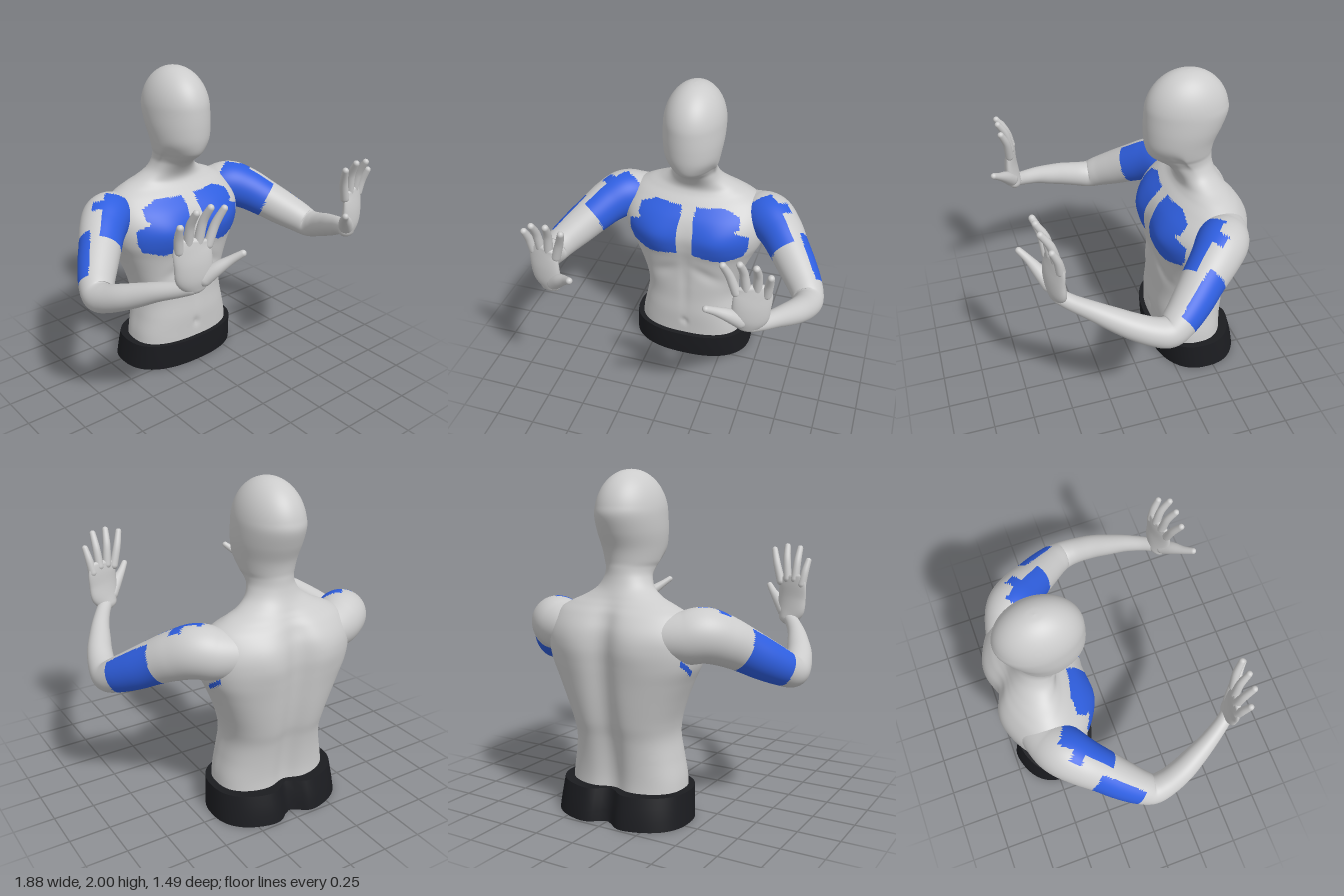
import * as THREE from 'three';

const V = (x, y, z) => new THREE.Vector3(x, y, z);
const mat = (color) => new THREE.MeshStandardMaterial({ color });
const SKIN = mat(0xcccccc), BLUE = mat(0x2f5fe0), DARK = mat(0x1b1c20);
const bump = (d, s) => Math.exp(-(d * d) / (s * s));
const smooth = THREE.MathUtils.smoothstep;

// Catmull-Rom through rows of numbers, u in 0..1
function sample(rows, u) {
  const n = rows.length - 1, f = Math.min(Math.max(u, 0), 1) * n;
  const i = Math.min(Math.floor(f), n - 1), t = f - i;
  const row = (k) => rows[Math.min(Math.max(k, 0), n)];
  return rows[0].map((_, c) => {
    const [a, b, d, e] = [-1, 0, 1, 2].map((k) => row(i + k)[c]);
    return b + 0.5 * t * (d - a + t * (2 * a - 5 * b + 4 * d - e + t * (3 * (b - d) + e - a)));
  });
}

// Closed skin over a list of rings, with a centre point at each end
function loft(rings) {
  const n = rings[0].length, last = (rings.length - 1) * n, index = [];
  const points = rings.flat();
  const centre = (ring) => ring.reduce((s, p) => s.add(p), V(0, 0, 0)).divideScalar(n);
  const c0 = points.push(centre(rings[0])) - 1;
  const c1 = points.push(centre(rings[rings.length - 1])) - 1;
  for (let j = 0; j < n; j++) {
    const k = (j + 1) % n;
    for (let i = 0; i < last; i += n) index.push(i + j, i + k, i + n + j, i + k, i + n + k, i + n + j);
    index.push(c0, k, j, c1, last + j, last + k);
  }
  const g = new THREE.BufferGeometry().setFromPoints(points);
  g.setIndex(index);
  g.computeVertexNormals();
  return g;
}

// Round-ended limb through rows [x, y, z, width radius, depth radius]
function limb(rows, s, ref, steps, sides) {
  const m = rows.map(([x, y, z, a, b = a]) => [x * s, y, z, a, b]);
  const r = V(ref[0] * s, ref[1], ref[2]), stations = [], rings = [];
  for (let k = 0; k < 6; k++) stations.push([0, -Math.cos((k / 6) * Math.PI / 2 + 0.05)]);
  for (let k = 0; k <= steps; k++) stations.push([k / steps, 0]);
  for (let k = 1; k <= 6; k++) stations.push([1, Math.sin((k / 6) * Math.PI / 2 - 0.05)]);
  for (const [u, cap] of stations) {
    const [x, y, z, a, b] = sample(m, u);
    const p = sample(m, u - 0.01), q = sample(m, u + 0.01);
    const T = V(q[0] - p[0], q[1] - p[1], q[2] - p[2]).normalize();
    const n1 = T.clone().cross(r).normalize(), n2 = T.clone().cross(n1);
    const c = V(x, y, z).addScaledVector(T, cap * Math.min(a, b)), shrink = Math.sqrt(1 - cap * cap);
    rings.push(Array.from({ length: sides }, (_, j) => {
      const t = (j / sides) * Math.PI * 2;
      return c.clone().addScaledVector(n1, a * shrink * Math.cos(t)).addScaledVector(n2, b * shrink * Math.sin(t));
    }));
  }
  return loft(rings);
}

// Horizontal body section; shape(x, y, front) returns a z offset
function section([y, hw, zf, zb], n, sides, shape) {
  const pow = (v) => Math.sign(v) * Math.abs(v) ** (2 / n);
  return Array.from({ length: sides }, (_, j) => {
    const t = (j / sides) * Math.PI * 2, x = hw * pow(Math.cos(t)), s = Math.sin(t);
    const z = (zf + zb) / 2 - ((zf - zb) / 2) * pow(s);
    return V(x, y, z + shape(x, y, -s));
  });
}

function add(group, name, geometry, material) {
  const mesh = new THREE.Mesh(geometry, material);
  mesh.name = name;
  group.add(mesh);
}

// Splits a surface into plain skin and a blue muscle patch chosen by test(centroid)
function addPainted(group, name, patchName, g, test) {
  const skin = [], patch = [], id = g.index.array, p = V(0, 0, 0), c = V(0, 0, 0);
  for (let i = 0; i < id.length; i += 3) {
    c.set(0, 0, 0);
    for (let k = 0; k < 3; k++) c.add(p.fromBufferAttribute(g.attributes.position, id[i + k]));
    (test(c.divideScalar(3)) ? patch : skin).push(id[i], id[i + 1], id[i + 2]);
  }
  const blue = g.clone();
  g.setIndex(skin);
  blue.setIndex(patch);
  add(group, name, g, SKIN);
  add(group, patchName, blue, BLUE);
}

// Body profile, from the waist up to the temples: y, half width, front z, back z
const BODY = [
  [0.12, 0.365, -0.19, -0.64], [0.24, 0.355, -0.185, -0.635], [0.36, 0.33, -0.18, -0.645],
  [0.48, 0.312, -0.185, -0.665], [0.58, 0.325, -0.185, -0.69], [0.7, 0.365, -0.185, -0.71],
  [0.82, 0.415, -0.175, -0.725], [0.92, 0.46, -0.16, -0.735], [1.02, 0.475, -0.16, -0.74],
  [1.12, 0.46, -0.2, -0.725], [1.2, 0.42, -0.27, -0.685], [1.25, 0.34, -0.32, -0.642],
  [1.29, 0.25, -0.335, -0.607], [1.34, 0.175, -0.315, -0.575], [1.4, 0.143, -0.265, -0.556],
  [1.45, 0.145, -0.19, -0.55], [1.49, 0.16, -0.15, -0.55], [1.56, 0.175, -0.128, -0.565],
  [1.65, 0.188, -0.122, -0.605],
];
// Crown of the head
for (let k = 0; k <= 7; k++) {
  const a = (k / 7) * Math.PI / 2, c = Math.cos(a) + 0.002;
  BODY.push([1.74 + 0.26 * Math.sin(a), 0.19 * c, -0.38 + 0.255 * c, -0.38 - 0.255 * c]);
}

// Muscle relief: spine groove, shoulder blades, chest, midline, navel and rounded chin
function relief(x, y, front) {
  const ax = Math.abs(x);
  if (front < 0) {
    const w = smooth(-front, 0, 0.5) * (1 - smooth(y, 1.15, 1.35));
    return w * (0.045 * bump(x, 0.085) - 0.012 * bump(ax - 0.2, 0.1) * bump(y - 1.05, 0.15));
  }
  return smooth(front, 0, 0.6) * (0.024 * bump(ax - 0.2, 0.13) * bump(y - 0.99, 0.12)
    - 0.008 * bump(x, 0.03) * bump(y - 0.65, 0.25)
    - 0.014 * bump(x, 0.02) * bump(y - 0.29, 0.03)
    - 0.012 * bump(ax - 0.14, 0.1) * bump(y - 0.78 + ax * 0.5, 0.05)
    - 3 * x * x * bump(y - 1.46, 0.06));
}

// Outline of one chest patch in x, y
const CHEST = [[0.045, 1.195], [0.23, 1.2], [0.33, 1.16], [0.34, 1.1], [0.31, 1.08],
  [0.4, 1.04], [0.4, 0.95], [0.37, 0.89], [0.24, 0.85], [0.05, 0.89]];
function inside(poly, x, y) {
  return poly.reduce((hit, [ax, ay], i) => {
    const [bx, by] = poly[(i + 1) % poly.length];
    return (ay > y) !== (by > y) && x < ax + ((y - ay) * (bx - ax)) / (by - ay) ? !hit : hit;
  }, false);
}

function addBody(group) {
  const rings = Array.from({ length: 201 }, (_, i) => {
    const row = sample(BODY, i / 200);
    return section(row, 2.5 - 0.5 * smooth(row[0], 1.05, 1.25), 192, relief);
  });
  addPainted(group, 'torsoAndHead', 'chestMuscles', loft(rings), ({ x, y, z }) => {
    const ax = Math.abs(x);
    const side = ax > 0.38 && z < -0.48 && z > -0.59 && Math.abs(y - 0.88 + (z + 0.48) * 0.73) < 0.015;
    return side || (z > -0.43 && inside(CHEST, ax, y));
  });
  // Waistband, with rim rings doubled to keep the edges sharp
  const cleft = (x, y, front) => (front < 0 ? 0.08 * bump(x, 0.075) * -front : 0);
  const rows = [[0, 0.42, -0.17, -0.745], [0, 0.42, -0.17, -0.745], [0.06, 0.415, -0.163, -0.735],
    [0.12, 0.41, -0.158, -0.72], [0.185, 0.405, -0.155, -0.7], [0.185, 0.405, -0.155, -0.7]];
  add(group, 'waistband', loft(rows.map((r) => section(r, 2.4, 96, cleft))), DARK);
}

const ARM = [[0.16, 1.07, -0.57, 0.09], [0.29, 1.075, -0.545, 0.122], [0.41, 1.085, -0.495, 0.148],
  [0.5, 1.1, -0.44, 0.155], [0.585, 1.065, -0.36, 0.143], [0.66, 1.01, -0.27, 0.13],
  [0.74, 0.945, -0.175, 0.12], [0.81, 0.888, -0.08, 0.106], [0.847, 0.853, 0.0, 0.093],
  [0.842, 0.872, 0.09, 0.083], [0.81, 0.915, 0.2, 0.076], [0.765, 0.957, 0.3, 0.067],
  [0.715, 1.0, 0.4, 0.055], [0.655, 1.035, 0.5, 0.046], [0.61, 1.06, 0.56, 0.043]];
const PALM = [[0.59, 1.065, 0.57, 0.07, 0.042], [0.602, 1.12, 0.58, 0.102, 0.043],
  [0.606, 1.2, 0.585, 0.107, 0.037], [0.61, 1.28, 0.58, 0.106, 0.029], [0.605, 1.33, 0.58, 0.09, 0.022]];
// Finger base, middle joint and tip
const FINGERS = {
  littleFinger: [[0.68, 1.29, 0.56], [0.692, 1.37, 0.575], [0.702, 1.44, 0.605]],
  ringFinger: [[0.628, 1.32, 0.57], [0.632, 1.43, 0.595], [0.63, 1.515, 0.645]],
  middleFinger: [[0.572, 1.32, 0.585], [0.557, 1.44, 0.605], [0.542, 1.525, 0.65]],
  indexFinger: [[0.52, 1.3, 0.6], [0.485, 1.41, 0.615], [0.453, 1.5, 0.65]],
};
const THUMB = [[0.55, 1.11, 0.6, 0.045], [0.495, 1.165, 0.64, 0.038], [0.435, 1.215, 0.685, 0.025], [0.39, 1.255, 0.728, 0.019]];

function makeArm(side, s) {
  const arm = new THREE.Group();
  arm.name = side + 'Arm';
  // Patches lie around the axis from shoulder to elbow
  const from = V(0.5, 1.1, -0.45), axis = V(0.33, -0.22, 0.41), out = V(0.78, 0, -0.62);
  addPainted(arm, 'armSkin', 'armMuscles', limb(ARM, s, [0, 1, 0], 120, 64), (c) => {
    const p = V(c.x * s, c.y, c.z).sub(from), t = p.dot(axis) / axis.lengthSq();
    p.addScaledVector(axis, -t);
    const o = p.dot(out);
    const triceps = t > 0.42 && t < 0.97 && o > 0.01 + 0.4 * p.y;
    const biceps = t > -0.14 && t < 0.5 && p.y > -0.1 && o < (t > 0.03 && t < 0.16 && p.y > 0 ? 0.07 : 0);
    return triceps || biceps;
  });
  const facing = [0.3, 0, 0.95];
  add(arm, 'palm', limb(PALM, s, facing, 24, 32), SKIN);
  for (const [name, rows] of Object.entries(FINGERS)) {
    const sized = rows.map((p, i) => [...p, [0.027, 0.024, 0.019][i]]);
    add(arm, name, limb(sized, s, facing, 16, 16), SKIN);
  }
  add(arm, 'thumb', limb(THUMB, s, facing, 18, 18), SKIN);
  return arm;
}

export function createModel() {
  const model = new THREE.Group();
  model.name = 'figureBust';
  addBody(model);
  model.add(makeArm('left', 1), makeArm('right', -1));
  return model;
}
